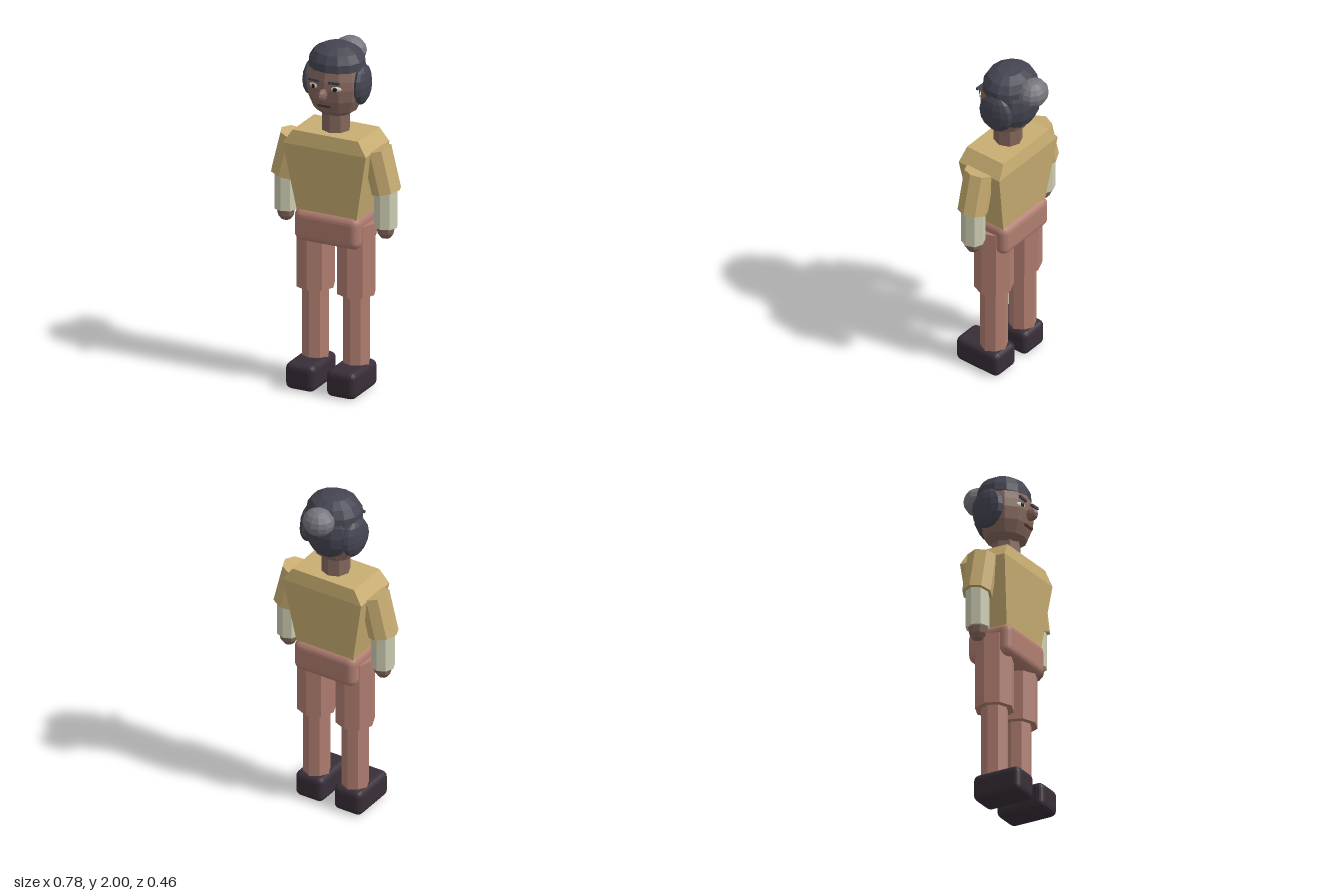
import * as THREE from 'three';
import { RoundedBoxGeometry } from 'three/addons/geometries/RoundedBoxGeometry.js';

const colour = (name, color, flatShading = true) => {
  const m = new THREE.MeshStandardMaterial({ color, flatShading });
  m.name = name;
  return m;
};

export function createModel() {
  const shirt = colour('shirt', 0xc8ad72);
  const cuff = colour('pale sleeve', 0xcdccb2);
  const trousers = colour('trousers', 0xb07d70);
  const shoe = colour('shoe', 0x382e38);
  const skin = colour('skin', 0x84675c);
  const hair = colour('hair', 0x454552);
  const bunGrey = colour('grey bun', 0x78757e);
  const eyeWhite = colour('eye white', 0xd8d8c4);
  const pupilDark = colour('pupil', 0x1c1a1c);
  const lip = colour('lip', 0x4c342e);

  const model = new THREE.Group();
  const Z = 0.026; // depth of the body's axis

  const add = (name, geometry, material, x, y, z) => {
    const mesh = new THREE.Mesh(geometry, material);
    mesh.name = name;
    mesh.position.set(x, y, z);
    model.add(mesh);
    return mesh;
  };
  const limb = (name, r, length, material, x, y, z = Z) =>
    add(name, new THREE.CylinderGeometry(r, r, length, 8), material, x, y, z);
  const ball = (name, rx, ry, rz, material, x, y, z, w = 12, h = 8) =>
    add(name, new THREE.SphereGeometry(1, w, h).scale(rx, ry, rz), material, x, y, z);
  const turned = (name, profile, segments, depth, material, z) =>
    add(name, new THREE.LatheGeometry(profile.map(p => new THREE.Vector2(...p)), segments)
      .scale(1, 1, depth), material, 0, 0, z);

  // Torso: stacked rectangular sections [y, half width, half depth]
  const sections = [[1.0, 0.178, 0.11], [1.42, 0.255, 0.142], [1.5, 0.2, 0.127]];
  const points = [], index = [];
  for (const [y, w, d] of sections) points.push(-w, y, d, w, y, d, w, y, -d, -w, y, -d);
  for (let s = 0; s < 2; s++) {
    for (let i = 0; i < 4; i++) {
      const a = s * 4 + i, b = s * 4 + (i + 1) % 4;
      index.push(a, b, b + 4, a, b + 4, a + 4);
    }
  }
  index.push(8, 9, 10, 8, 10, 11, 0, 2, 1, 0, 3, 2);
  const torso = new THREE.BufferGeometry();
  torso.setAttribute('position', new THREE.Float32BufferAttribute(points, 3));
  torso.setIndex(index);
  torso.computeVertexNormals();
  add('torso', torso, shirt, 0, 0, Z);

  // Hips
  add('hips', new RoundedBoxGeometry(0.4, 0.19, 0.272, 3, 0.045), trousers, 0, 0.945, Z);

  // Neck and head
  limb('neck', 0.08, 0.2, skin, 0, 1.56);
  turned('head', [[0, 1.59], [0.07, 1.592], [0.125, 1.63], [0.155, 1.7], [0.165, 1.77],
    [0.16, 1.82], [0.143, 1.88], [0.1, 1.95], [0, 1.97]], 12, 0.9, skin, Z);
  ball('nose', 0.025, 0.036, 0.042, skin, 0, 1.749, 0.187, 8, 6);
  add('mouth', new THREE.BoxGeometry(0.075, 0.012, 0.009), lip, 0, 1.68, 0.168);

  // Hair
  turned('hairCap', [[0, 1.87], [0.163, 1.87], [0.158, 1.915], [0.13, 1.96], [0.075, 1.99], [0, 2.0]],
    14, 0.91, hair, 0.011);
  ball('backHair', 0.148, 0.17, 0.108, hair, 0, 1.8, -0.047);
  ball('bun', 0.092, 0.08, 0.083, bunGrey, 0, 1.9, -0.148);

  // Mirrored parts
  for (const s of [1, -1]) {
    const side = s > 0 ? 'left' : 'right';

    // Side hair and face details
    ball(side + 'SideHair', 0.045, 0.115, 0.105, hair, s * 0.145, 1.775, -0.005).rotation.y = s * 0.12;
    ball(side + 'Eye', 0.03, 0.014, 0.008, eyeWhite, s * 0.07, 1.787, 0.16, 10, 6).rotation.y = s * 0.35;
    ball(side + 'Pupil', 0.012, 0.013, 0.006, pupilDark, s * 0.066, 1.787, 0.169, 8, 6).rotation.y = s * 0.35;
    add(side + 'Brow', new THREE.BoxGeometry(0.066, 0.014, 0.012), hair, s * 0.062, 1.824, 0.17)
      .rotation.z = s * 0.05;

    // Arm
    limb(side + 'Sleeve', 0.085, 0.247, shirt, s * 0.28, 1.306).rotation.z = s * 0.245;
    limb(side + 'Forearm', 0.067, 0.23, cuff, s * 0.306, 1.095);
    ball(side + 'Hand', 0.054, 0.075, 0.054, skin, s * 0.306, 0.98, Z, 8, 6);

    // Leg
    limb(side + 'Thigh', 0.11, 0.42, trousers, s * 0.125, 0.77);
    limb(side + 'Shin', 0.077, 0.45, trousers, s * 0.125, 0.355);
    add(side + 'Shoe', new RoundedBoxGeometry(0.18, 0.155, 0.295, 2, 0.035), shoe, s * 0.125, 0.0775, 0.082);
  }
  return model;
}
